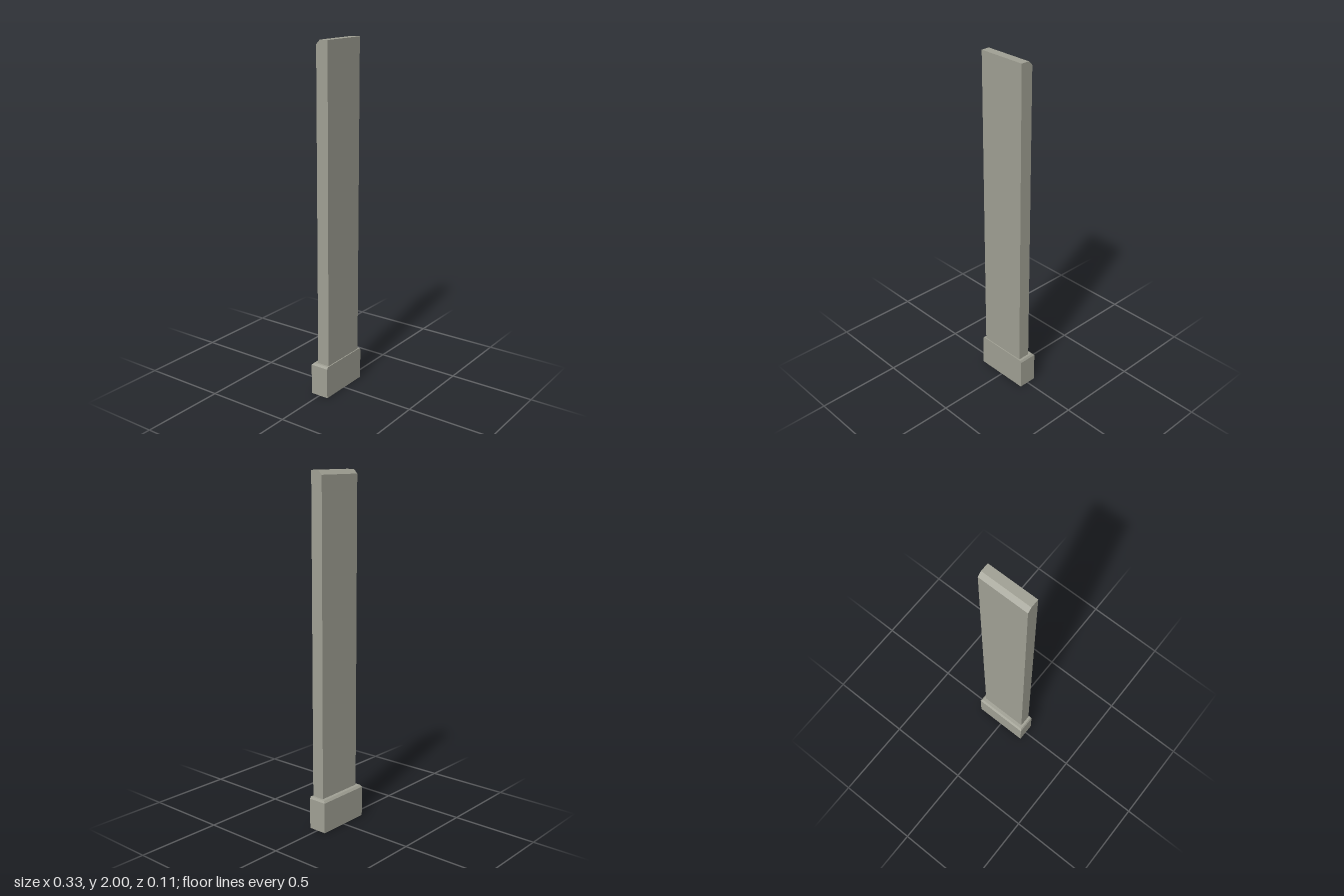
import * as THREE from 'three';

const material = new THREE.MeshStandardMaterial({ color: 0xa0a094, flatShading: true });

// Upright slab: side profile (z, y) with a sloped back top edge, extruded across x
function makeSlab() {
  const width = 0.288, front = 0.049, back = -0.024, bottom = 0.18;
  const profile = new THREE.Shape([
    [front, bottom], [front, 2], [0, 2], [back, 1.976], [back, bottom],
  ].map(([z, y]) => new THREE.Vector2(-z, y)));
  const geometry = new THREE.ExtrudeGeometry(profile, { depth: width, bevelEnabled: false });
  geometry.translate(0, 0, -width / 2);
  geometry.rotateY(Math.PI / 2); // profile -z axis swings onto the model's z
  const mesh = new THREE.Mesh(geometry, material);
  mesh.name = 'slab';
  return mesh;
}

// Base block: top edge chamfered on the back and both sides, front left flush
function makeBase() {
  const height = 0.19, shoulder = 0.178;
  let geometry = new THREE.BoxGeometry(0.33, height, 0.11, 1, 2, 1);
  geometry.translate(0, height / 2, 0);
  const p = geometry.attributes.position;
  for (let i = 0; i < p.count; i++) {
    const y = p.getY(i);
    if (y > height - 0.001) {
      p.setX(i, p.getX(i) - Math.sign(p.getX(i)) * 0.007);
      if (p.getZ(i) < 0) p.setZ(i, p.getZ(i) + 0.011);
    } else if (y > 0.001) {
      p.setY(i, shoulder);
    }
  }
  geometry = geometry.toNonIndexed();
  geometry.computeVertexNormals();
  const mesh = new THREE.Mesh(geometry, material);
  mesh.name = 'base';
  return mesh;
}

export function createModel() {
  const group = new THREE.Group();
  group.name = 'slabOnBase';
  group.add(makeBase(), makeSlab());
  return group;
}
